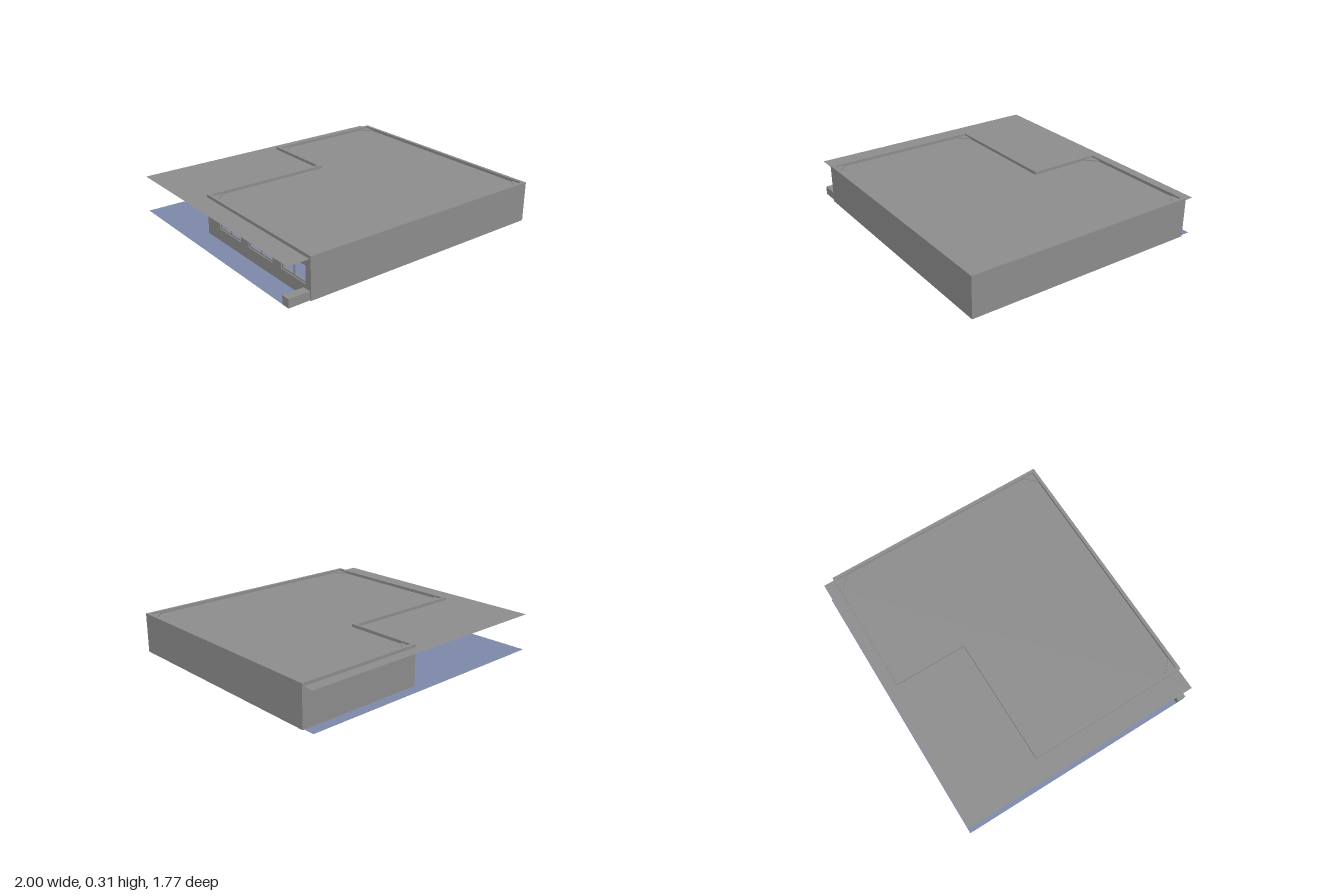
import * as THREE from 'three';

const grey = new THREE.MeshStandardMaterial({ color: 0x8c8c8c, side: THREE.DoubleSide });
grey.name = 'wall grey';
const blue = new THREE.MeshStandardMaterial({ color: 0x7c88a8, side: THREE.DoubleSide });
blue.name = 'floor blue';
const olive = new THREE.MeshStandardMaterial({ color: 0x8a8878 });
olive.name = 'furniture olive';

const FLOOR = 0.02, ROOF = 0.284, TOP = 0.305, T = 0.024;

export function createModel() {
  const model = new THREE.Group();
  const add = (name, geo, mat, parent = model) => {
    const mesh = new THREE.Mesh(geo, mat);
    mesh.name = name;
    parent.add(mesh);
    return mesh;
  };
  // box given by its limits
  const box = (name, x0, x1, y0, y1, z0, z1, mat, parent) => {
    const mesh = add(name, new THREE.BoxGeometry(x1 - x0, y1 - y0, z1 - z0), mat, parent);
    mesh.position.set((x0 + x1) / 2, (y0 + y1) / 2, (z0 + z1) / 2);
    return mesh;
  };

  // thin floor and roof sheets, reaching past the walls
  for (const [name, y, mat] of [['floor', FLOOR, blue], ['roof', ROOF, grey]]) {
    const sheet = add(name, new THREE.PlaneGeometry(1.985, 1.76).rotateX(-Math.PI / 2), mat);
    sheet.position.set(-0.0075, y, -0.01);
  }

  // solid walls of the L-shaped plan
  const walls = new THREE.Group();
  walls.name = 'walls';
  model.add(walls);
  const wall = (name, x0, x1, z0, z1) => box(name, x0, x1, FLOOR, TOP, z0, z1, grey, walls);
  wall('frontWall', -0.85, 0.997, 0.88 - T, 0.88);
  wall('sideWall', 0.997 - T, 0.997, -0.812, 0.88 - T);
  wall('backWall', 0.068, 0.997 - T, -0.812, -0.812 + T);
  wall('notchSideWall', 0.068, 0.068 + T, -0.812 + T, -0.284 + T);
  wall('notchBackWall', -0.85, 0.068, -0.284, -0.284 + T);

  // wall with three window openings, drawn in z and y
  const shape = new THREE.Shape();
  const z0 = -0.284 + T, z1 = 0.88 - T;
  shape.moveTo(z0, FLOOR).lineTo(z1, FLOOR).lineTo(z1, TOP).lineTo(z0, TOP).closePath();
  const windows = [[-0.13, 0.13], [0.22, 0.49], [0.58, 0.83]], sill = 0.107, head = 0.23;
  for (const [a, b] of windows) {
    const hole = new THREE.Path();
    hole.moveTo(a, sill).lineTo(a, head).lineTo(b, head).lineTo(b, sill).closePath();
    shape.holes.push(hole);
  }
  const windowWall = add('windowWall',
    new THREE.ExtrudeGeometry(shape, { depth: T, bevelEnabled: false }), grey, walls);
  windowWall.rotation.y = -Math.PI / 2;
  windowWall.position.x = -0.85 + T;

  // window frames with a centre bar
  windows.forEach(([a, b]) => {
    const frame = new THREE.Group();
    frame.name = 'windowFrame';
    model.add(frame);
    const x = -0.842, d = 0.01, w = 0.01;
    for (const z of [a, (a + b - w) / 2, b - w]) box('frameBar', x, x + d, sill, head, z, z + w, grey, frame);
    for (const y of [sill, head - w]) box('frameRail', x, x + d, y, y + w, a, b, grey, frame);
  });

  // small triangular plates in the inner corners of the parapet
  const corners = [[-0.826, -0.26, 1, 1], [0.092, -0.788, 1, 1], [0.973, -0.788, -1, 1],
    [0.973, 0.856, -1, -1], [-0.826, 0.856, 1, -1]];
  for (const [x, z, sx, sz] of corners) {
    const tri = new THREE.Shape();
    tri.moveTo(0, 0).lineTo(sx * 0.08, 0).lineTo(0, -sz * 0.08).closePath();
    const plate = add('cornerPlate', new THREE.ExtrudeGeometry(tri, { depth: 0.008, bevelEnabled: false }), grey);
    plate.rotation.x = -Math.PI / 2;
    plate.position.set(x, ROOF, z);
  }

  // low block beside the windowed wall
  box('lowBlock', -1, -0.85, FLOOR, 0.08, 0.81, 0.87, grey);

  // basin underside poking through the floor
  const basin = add('basin', new THREE.CylinderGeometry(0.066, 0.05, 0.02, 16), grey);
  basin.scale.z = 0.87;
  basin.position.set(0.595, 0.01, -0.375);

  // furniture whose feet show just under the floor
  const pieces = [[0.76, 0.8, -0.16, 0.5], [0.3, 0.37, -0.06, 0.32], [0.1, 0.3, 0.1, 0.13],
    [0.73, 0.78, -0.63, -0.55], [0.05, 0.13, 0.47, 0.57]];
  for (const [xa, xb, za, zb] of pieces) box('furniture', xa, xb, FLOOR - 0.001, 0.1, za, zb, olive);

  // thin leg tips
  for (const [x, z] of [[-0.82, 0.78], [-0.705, 0.72], [-0.165, 0.78]]) {
    box('legTip', x - 0.002, x + 0.002, 0.01, FLOOR, z - 0.002, z + 0.002, grey);
  }
  return model;
}
